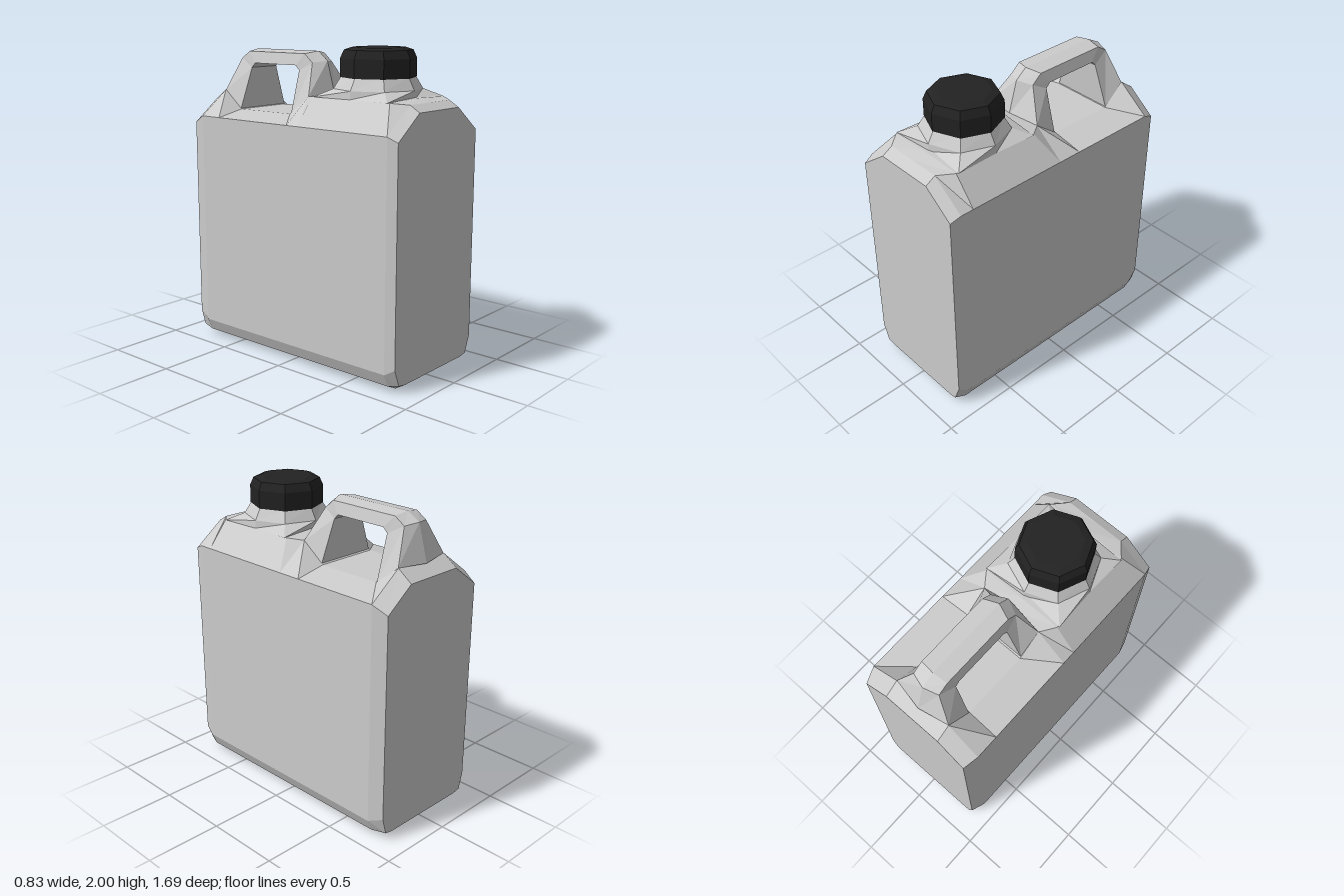
import * as THREE from 'three';

const plastic = new THREE.MeshStandardMaterial({ color: 0xcccccc, flatShading: true });
const black = new THREE.MeshStandardMaterial({ color: 0x222222, flatShading: true });

// Skin a row of equal-length closed cross-sections, optionally closing both ends.
function loft(sections, capped) {
  const pos = [];
  const tri = (a, b, c) => pos.push(...a, ...b, ...c);
  const n = sections[0].length;
  for (let i = 0; i < sections.length - 1; i++) {
    for (let j = 0; j < n; j++) {
      const k = (j + 1) % n;
      const [a, b, c, d] = [sections[i][j], sections[i][k], sections[i + 1][k], sections[i + 1][j]];
      tri(a, b, c);
      tri(a, c, d);
    }
  }
  if (capped) {
    const first = sections[0], last = sections[sections.length - 1];
    for (let j = 1; j < n - 1; j++) {
      tri(first[0], first[j + 1], first[j]);
      tri(last[0], last[j], last[j + 1]);
    }
  }
  const g = new THREE.BufferGeometry();
  g.setAttribute('position', new THREE.Float32BufferAttribute(pos, 3));
  g.computeVertexNormals();
  return g;
}

// Complete a half section by mirroring its points across x = 0.
const mirrored = (centre, half) => [
  ...centre, ...half, ...[...half].reverse().map(([x, y, z]) => [-x, y, z]),
];

function bodySection([z, yTop, xEdge, yEdge, end]) {
  const side = end
    ? [[end, end > 0.39 ? 1.5 : 1.48], [end, 0.16], [0.357, 0.05], [0.3, 0.04]]
    : [[0.415, 1.53], [0.415, 0.12], [0.38, 0.04], [0.3, 0]];
  return mirrored([[0, yTop, z]], [[xEdge, yEdge], ...side].map(([x, y]) => [x, y, z]));
}

function add(group, name, geometry, material) {
  const mesh = new THREE.Mesh(geometry, material);
  mesh.name = name;
  group.add(mesh);
  return mesh;
}

export function createModel() {
  const group = new THREE.Group();
  group.name = 'jerrycan';

  // Body, front to back: z, top centre y, shoulder x and y, half width of an end face
  const body = [
    [0.847, 1.65, 0.2, 1.65, 0.4],
    [0.78, 1.69, 0.2, 1.69],
    [0.69, 1.71, 0.275, 1.7],
    [0.1, 1.71, 0.275, 1.7],
    [0.01, 1.69, 0.21, 1.69],
    [-0.15, 1.57, 0.21, 1.57],
    [-0.59, 1.57, 0.21, 1.57],
    [-0.747, 1.69, 0.2, 1.69],
    [-0.845, 1.62, 0.2, 1.62, 0.387],
  ].map(bodySection);
  add(group, 'body', loft(body, true), plastic);

  // Handle, front to back: ridge z,y; outer edge x,z,y; inner edge x,z,y
  const handle = [
    [0.045, 1.69, 0.21, 0.01, 1.69, 0.21, -0.14, 1.57],
    [-0.015, 1.9, 0.095, -0.06, 1.89, 0.115, -0.155, 1.84],
    [-0.09, 1.96, 0.095, -0.125, 1.945, 0.115, -0.185, 1.87],
    [-0.63, 1.96, 0.095, -0.62, 1.945, 0.115, -0.55, 1.87],
    [-0.72, 1.91, 0.095, -0.69, 1.9, 0.115, -0.58, 1.84],
    [-0.785, 1.68, 0.2, -0.745, 1.69, 0.21, -0.595, 1.57],
  ].map(([rz, ry, ox, oz, oy, ix, iz, iy]) =>
    mirrored([[0, ry, rz]], [[ox, oy, oz], [ix, iy, iz]]));
  add(group, 'handle', loft(handle, false), plastic);

  // Neck: a square foot blending into an eight-sided collar (y, axis reach, corner reach)
  const neck = [
    [1.7, 0.275, 0.285],
    [1.75, 0.27, 0.195],
    [1.83, 0.225, 0.16],
  ].map(([y, axis, corner]) => Array.from({ length: 8 }, (_, i) => {
    const a = (i * Math.PI) / 4;
    const r = i % 2 ? corner * Math.SQRT2 : axis;
    return [Math.cos(a) * r, y, 0.395 - Math.sin(a) * r];
  }));
  add(group, 'neck', loft(neck, true), plastic);

  // Screw cap
  const profile = [[0, 1.82], [0.235, 1.82], [0.235, 1.935], [0.212, 1.985], [0.165, 2], [0, 2]]
    .map(([r, y]) => new THREE.Vector2(r, y));
  add(group, 'cap', new THREE.LatheGeometry(profile, 8), black).position.z = 0.395;

  return group;
}
